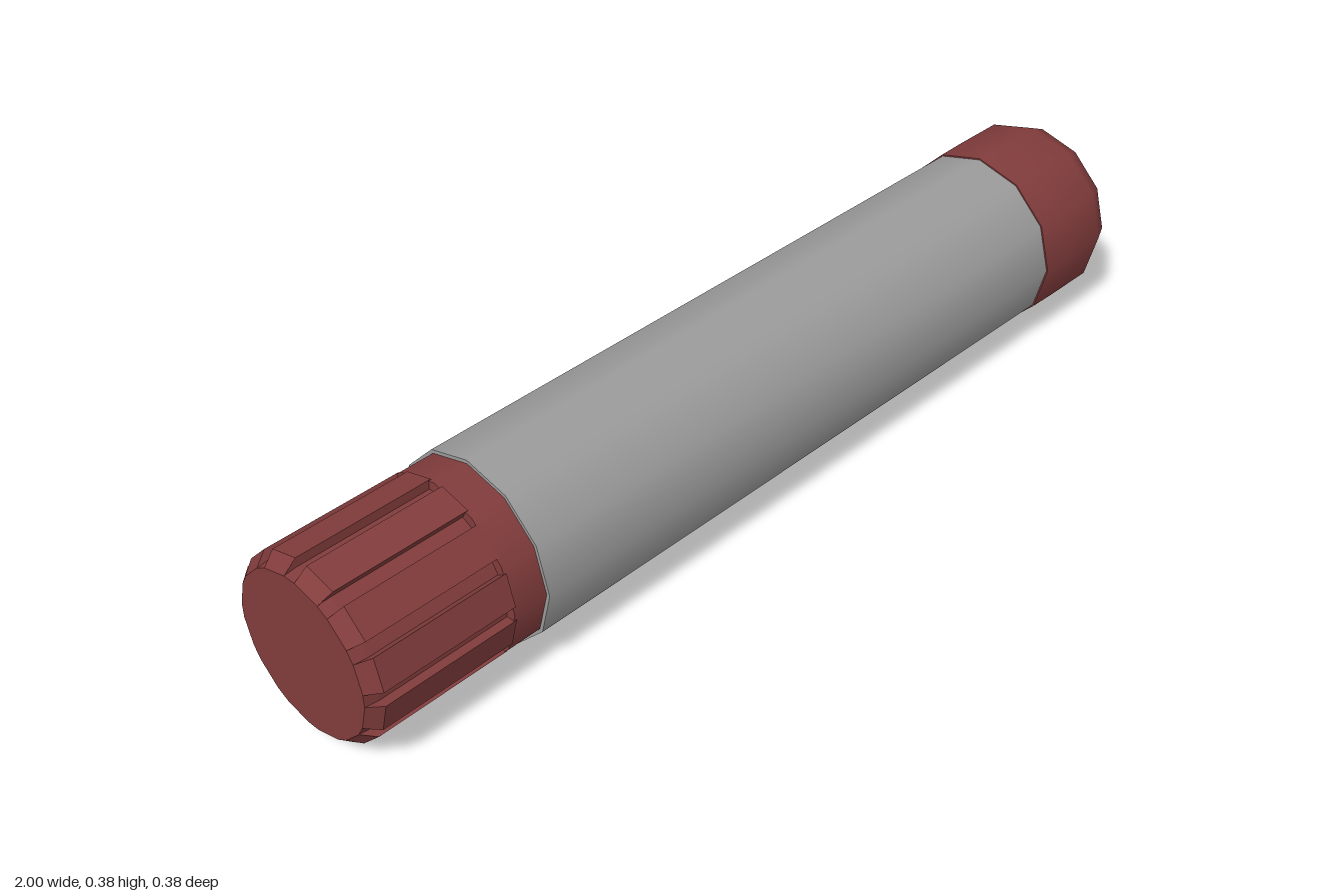
import * as THREE from 'three';

const SIDES = 12;
const AXIS_Y = 0.192;
const grey = new THREE.MeshStandardMaterial({ color: 0x9b9b9b });
const red = new THREE.MeshStandardMaterial({ color: 0x823c3c });

// Turned part along x; profile is [x, radius], a repeated point makes a sharp edge
function turned(name, profile, material) {
  const geo = new THREE.LatheGeometry(profile.map(([x, r]) => new THREE.Vector2(r, x)), SIDES);
  geo.rotateZ(-Math.PI / 2);
  const mesh = new THREE.Mesh(geo, material);
  mesh.name = name;
  return mesh;
}

// Twelve-sided grip with a slot cut along every corner and a chamfered end
function flutedGrip() {
  const outer = 0.175, inner = 0.157, half = 0.014, endRadius = 0.155;
  const points = [];
  for (let i = 0; i < SIDES; i++) {
    const a = (i / SIDES) * Math.PI * 2;
    for (const [r, w] of [[outer, -half], [inner, -half], [inner, half], [outer, half]]) {
      points.push(new THREE.Vector2(r * Math.cos(a) - w * Math.sin(a), r * Math.sin(a) + w * Math.cos(a)));
    }
  }
  const geo = new THREE.ExtrudeGeometry(new THREE.Shape(points), { depth: 2, steps: 2, bevelEnabled: false });
  // Place the three rings along the axis and shrink the last one
  const stations = [0.705, 0.975, 1];
  const p = geo.attributes.position;
  for (let i = 0; i < p.count; i++) {
    const ring = Math.round(p.getZ(i));
    const r = Math.hypot(p.getX(i), p.getY(i));
    const s = ring === 2 ? Math.min(1, endRadius / r) : 1;
    p.setXYZ(i, p.getX(i) * s, p.getY(i) * s, stations[ring]);
  }
  geo.computeVertexNormals();
  geo.rotateY(-Math.PI / 2);
  const mesh = new THREE.Mesh(geo, red);
  mesh.name = 'flutedGrip';
  return mesh;
}

export function createModel() {
  const model = new THREE.Group();
  model.name = 'tube';

  const parts = new THREE.Group();
  parts.name = 'tubeParts';
  parts.position.y = AXIS_Y;
  model.add(parts);

  // Long barrel, very slightly wider towards the rounded cap
  parts.add(turned('barrel', [
    [-0.64, 0], [-0.64, 0.184], [-0.64, 0.184], [0.76, 0.187], [0.76, 0.187], [0.76, 0],
  ], grey));

  // Rounded cap with a softly domed end
  parts.add(turned('roundedCap', [
    [0.74, 0], [0.74, 0.19], [0.74, 0.19], [0.8, 0.191],
    [0.92, 0.191], [0.962, 0.172], [0.987, 0.14], [1, 0],
  ], red));

  // Plain collar joining the grip to the barrel
  parts.add(turned('gripCollar', [
    [-0.71, 0], [-0.71, 0.177], [-0.71, 0.177], [-0.63, 0.177],
  ], red));

  parts.add(flutedGrip());
  return model;
}
